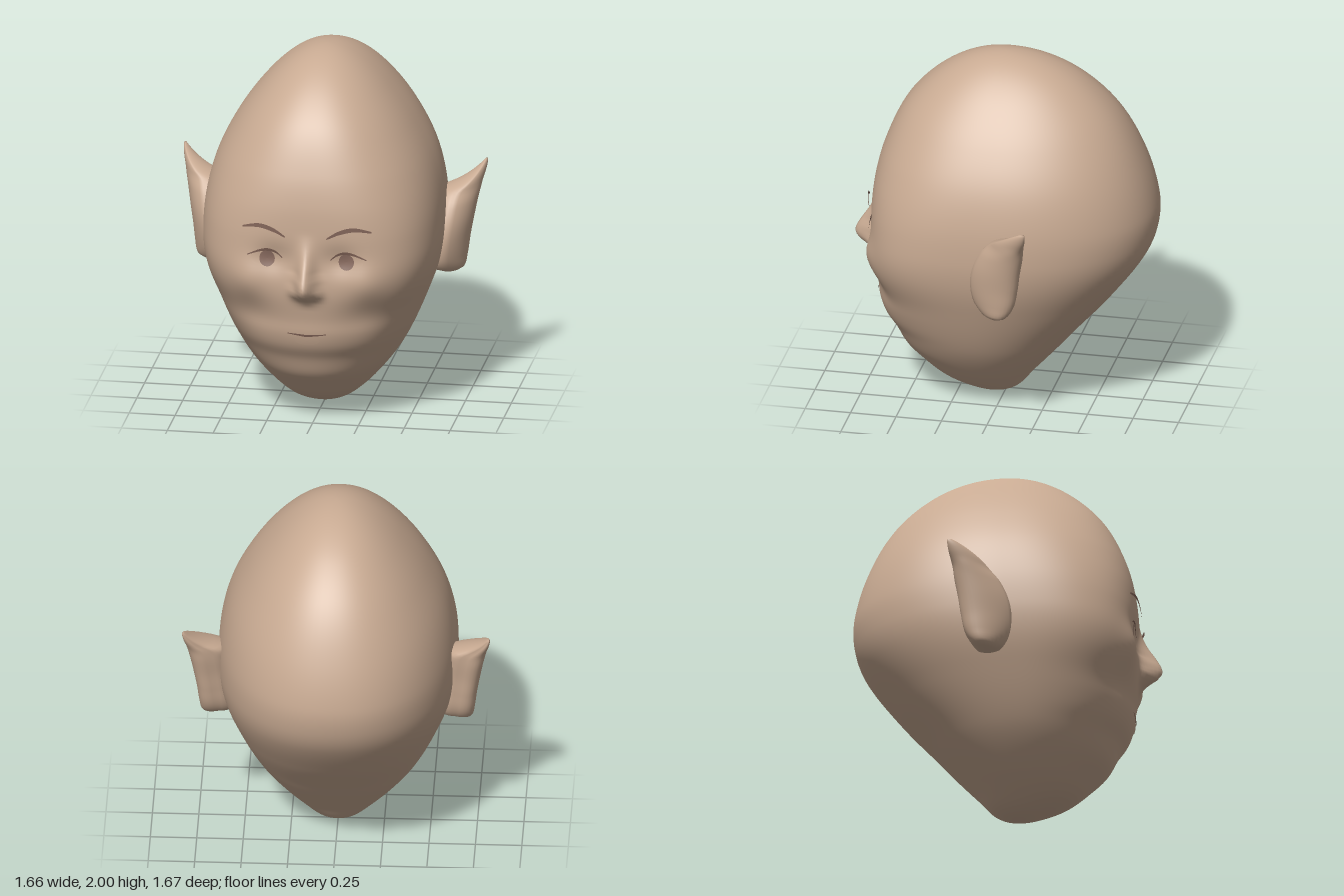
import * as THREE from 'three';

const skin = new THREE.MeshStandardMaterial({ color: 0xc8aa92 });
skin.name = 'skin';
const browBrown = new THREE.MeshStandardMaterial({ color: 0x7d6054, side: THREE.DoubleSide });
browBrown.name = 'brow brown';
const irisBrown = new THREE.MeshStandardMaterial({ color: 0x8a6c60 });
irisBrown.name = 'iris brown';

// Smooth curve through [key, value] pairs
function curve(pairs, key = (k) => k) {
  const p = pairs.map(([k, v]) => [key(k), v]);
  const slope = (i) => {
    const a = p[Math.max(i - 1, 0)], b = p[Math.min(i + 1, p.length - 1)];
    return (b[1] - a[1]) / (b[0] - a[0]);
  };
  return (k) => {
    const x = THREE.MathUtils.clamp(key(k), p[0][0], p[p.length - 1][0]);
    let i = 0;
    while (i < p.length - 2 && x > p[i + 1][0]) i++;
    const h = p[i + 1][0] - p[i][0], t = (x - p[i][0]) / h, t2 = t * t, t3 = t2 * t;
    return (2 * t3 - 3 * t2 + 1) * p[i][1] + (t3 - 2 * t2 + t) * h * slope(i)
      + (3 * t2 - 2 * t3) * p[i + 1][1] + (t3 - t2) * h * slope(i + 1);
  };
}

// Heights are spaced by arc so that crown and chin close roundly
const arc = (y) => Math.acos(THREE.MathUtils.clamp(1 - y, -1, 1)) / Math.PI;
const width = curve([[0, 0], [0.03, 0.11], [0.1, 0.205], [0.2, 0.305], [0.4, 0.45], [0.7, 0.58], [0.85, 0.625],
  [1, 0.643], [1.2, 0.632], [1.4, 0.582], [1.6, 0.482], [1.8, 0.335], [1.9, 0.233], [1.97, 0.125], [2, 0]], arc);
const front = curve([[0, 0.05], [0.03, 0.19], [0.1, 0.35], [0.2, 0.465], [0.29, 0.55], [0.4, 0.605], [0.48, 0.655],
  [0.56, 0.68], [0.64, 0.687], [0.8, 0.712], [1, 0.708], [1.13, 0.705], [1.29, 0.69], [1.45, 0.65], [1.66, 0.555],
  [1.81, 0.43], [1.95, 0.225], [2, 0]], arc);
const back = curve([[0, 0.05], [0.04, -0.075], [0.16, -0.18], [0.4, -0.39], [0.64, -0.6], [0.865, -0.765],
  [1, -0.82], [1.155, -0.83], [1.4, -0.765], [1.66, -0.63], [1.85, -0.44], [1.96, -0.23], [2, 0]], arc);
const middle = curve([[0, 0.05], [0.1, 0.1], [0.4, 0.1], [1, 0.03], [2, 0]]);
const squareness = curve([[0, 2], [0.4, 2.1], [0.65, 2.4], [0.9, 3], [1.1, 2.9], [1.4, 2.5], [2, 2.1]]);
const noseHeight = curve([[0.73, 0], [0.77, 0.025], [0.8, 0.08], [0.835, 0.114], [0.865, 0.118], [0.93, 0.088],
  [1, 0.045], [1.07, 0.014], [1.13, 0]]);

// Nose, eye sockets and cheekbones raised from the face
function relief(x, y) {
  const ax = Math.abs(x);
  const bump = (cx, cy, sx, sy) => Math.exp(-(((ax - cx) / sx) ** 2) - ((y - cy) / sy) ** 2);
  const noseWidth = y < 0.9 ? 0.055 : 0.045;
  return noseHeight(y) * Math.exp(-((ax / noseWidth) ** 2))
    + 0.018 * bump(0.07, 0.815, 0.03, 0.03)
    - 0.025 * bump(0.18, 0.99, 0.1, 0.08)
    + 0.022 * bump(0.33, 0.87, 0.1, 0.1)
    - 0.015 * bump(0.3, 0.66, 0.12, 0.1);
}

function faceZ(x, y) {
  const n = squareness(y), c = middle(y);
  return c + (front(y) - c) * (1 - Math.min(Math.abs(x / width(y)), 1) ** n) ** (1 / n) + relief(x, y);
}

// Closed skin over rings stacked upward; point(row, angle) gives [x, y, z]
function loft(rows, segments, point) {
  const pos = [], index = [];
  for (let i = 0; i < rows; i++) {
    for (let j = 0; j < segments; j++) pos.push(...point(i, (j / segments) * Math.PI * 2));
  }
  for (let i = 0; i < rows - 1; i++) {
    for (let j = 0; j < segments; j++) {
      const k = (j + 1) % segments, a = i * segments + j, b = i * segments + k;
      index.push(a, b, a + segments, b, b + segments, a + segments);
    }
  }
  // End caps
  for (const row of [0, rows - 1]) {
    const c = [0, 0, 0], mid = pos.length / 3;
    for (let j = 0; j < segments; j++) {
      for (let k = 0; k < 3; k++) c[k] += pos[(row * segments + j) * 3 + k] / segments;
    }
    pos.push(...c);
    for (let j = 0; j < segments; j++) {
      const a = row * segments + j, b = row * segments + (j + 1) % segments;
      if (row === 0) index.push(b, a, mid); else index.push(a, b, mid);
    }
  }
  const g = new THREE.BufferGeometry();
  g.setAttribute('position', new THREE.Float32BufferAttribute(pos, 3));
  g.setIndex(index);
  g.computeVertexNormals();
  return g;
}

function headGeometry() {
  const rows = 140;
  return loft(rows, 180, (i, u) => {
    const y = 1 - Math.cos(Math.PI * (0.006 + 0.988 * i / (rows - 1)));
    const t = u - 0.45 * Math.sin(u); // denser across the face
    const s = Math.sin(t), c = Math.cos(t), m = middle(y);
    const depth = c > 0 ? front(y) - m : m - back(y);
    const n = c > 0 ? squareness(y) : 2.15;
    const r = (Math.abs(s / width(y)) ** n + Math.abs(c / depth) ** n) ** (-1 / n);
    const yy = i === 0 ? 0.0 : i === rows - 1 ? 2 : y;
    return [r * s, yy, m + r * c + (c > 0 ? relief(r * s, y) * Math.min(1, c * 3) : 0)];
  });
}

// Ear sections: height, inner x, outer x, front z, back z
const earSections = [
  [0.718, 0.60, 0.70, -0.03, -0.11], [0.735, 0.55, 0.728, 0.005, -0.14], [0.8, 0.54, 0.742, 0.045, -0.175],
  [0.9, 0.55, 0.755, 0.06, -0.195], [1.0, 0.56, 0.772, 0.045, -0.21], [1.1, 0.57, 0.79, 0.0, -0.23],
  [1.16, 0.59, 0.803, -0.05, -0.24], [1.195, 0.67, 0.81, -0.09, -0.25], [1.23, 0.735, 0.82, -0.14, -0.262],
  [1.27, 0.79, 0.828, -0.205, -0.272], [1.293, 0.815, 0.828, -0.25, -0.275]];
function earGeometry(side) {
  const fields = [1, 2, 3, 4].map((k) => curve(earSections.map((s) => [s[0], s[k]])));
  const rows = 40;
  return loft(rows, 32, (i, u) => {
    const y = 0.718 + 0.575 * i / (rows - 1);
    const [xi, xo, zf, zb] = fields.map((f) => f(y));
    const s = Math.sin(side * u), c = Math.cos(u);
    const lean = s > 0 ? 0.25 * (zf - zb) * s : 0; // outer rim sweeps back
    return [side * ((xi + xo) / 2 + (xo - xi) / 2 * s), y, (zf + zb) / 2 + (zf - zb) / 2 * c - lean];
  });
}

// Thin painted strip following the face; points are [x, y], tapering at the ends
function strip(points, thickness, lift, side = 1) {
  const path = new THREE.SplineCurve(points.map(([x, y]) => new THREE.Vector2(x, y)));
  const pos = [], index = [], n = 20;
  for (let i = 0; i <= n; i++) {
    const p = path.getPoint(i / n);
    const h = thickness / 2 * (0.3 + 0.7 * Math.sin(Math.PI * i / n));
    for (const y of [p.y - h, p.y + h]) pos.push(side * p.x, y, faceZ(p.x, y) + lift);
    if (i < n) {
      const a = i * 2;
      if (side > 0) index.push(a, a + 2, a + 1, a + 2, a + 3, a + 1);
      else index.push(a, a + 1, a + 2, a + 2, a + 1, a + 3);
    }
  }
  const g = new THREE.BufferGeometry();
  g.setAttribute('position', new THREE.Float32BufferAttribute(pos, 3));
  g.setIndex(index);
  g.computeVertexNormals();
  return g;
}

// Thin oval laid on the face
function oval(cx, cy, rx, ry, lift) {
  const g = new THREE.RingGeometry(0.001, 1, 32, 4);
  g.scale(rx, ry, 1).translate(cx, cy, 0);
  const p = g.attributes.position;
  for (let i = 0; i < p.count; i++) p.setZ(i, faceZ(p.getX(i), p.getY(i)) + lift);
  g.computeVertexNormals();
  return g;
}

export function createModel() {
  const model = new THREE.Group();
  model.name = 'head';
  const add = (name, geometry, material) => {
    const mesh = new THREE.Mesh(geometry, material);
    mesh.name = name;
    model.add(mesh);
  };
  add('skull and face', headGeometry(), skin);
  for (const [side, label] of [[1, 'left'], [-1, 'right']]) {
    add(`${label} ear`, earGeometry(side), skin);
    add(`${label} brow`, strip([[0.113, 1.13], [0.18, 1.165], [0.26, 1.182], [0.352, 1.165]], 0.024, 0.025, side), browBrown);
    add(`${label} upper eyelid`, strip([[0.13, 1.0], [0.165, 1.03], [0.21, 1.043], [0.26, 1.035], [0.325, 1.008]], 0.016, 0.012, side), browBrown);
    add(`${label} eyeball`, oval(side * 0.222, 0.99, 0.085, 0.043, 0.005), skin);
    add(`${label} iris`, oval(side * 0.216, 0.992, 0.042, 0.045, 0.009), irisBrown);
  }
  // Mouth
  add('mouth line', strip([[-0.105, 0.57], [-0.04, 0.564], [0, 0.56], [0.04, 0.564], [0.105, 0.57]], 0.013, 0.009), browBrown);
  add('lower lip', oval(0, 0.531, 0.068, 0.028, 0.007), skin);
  return model;
}
